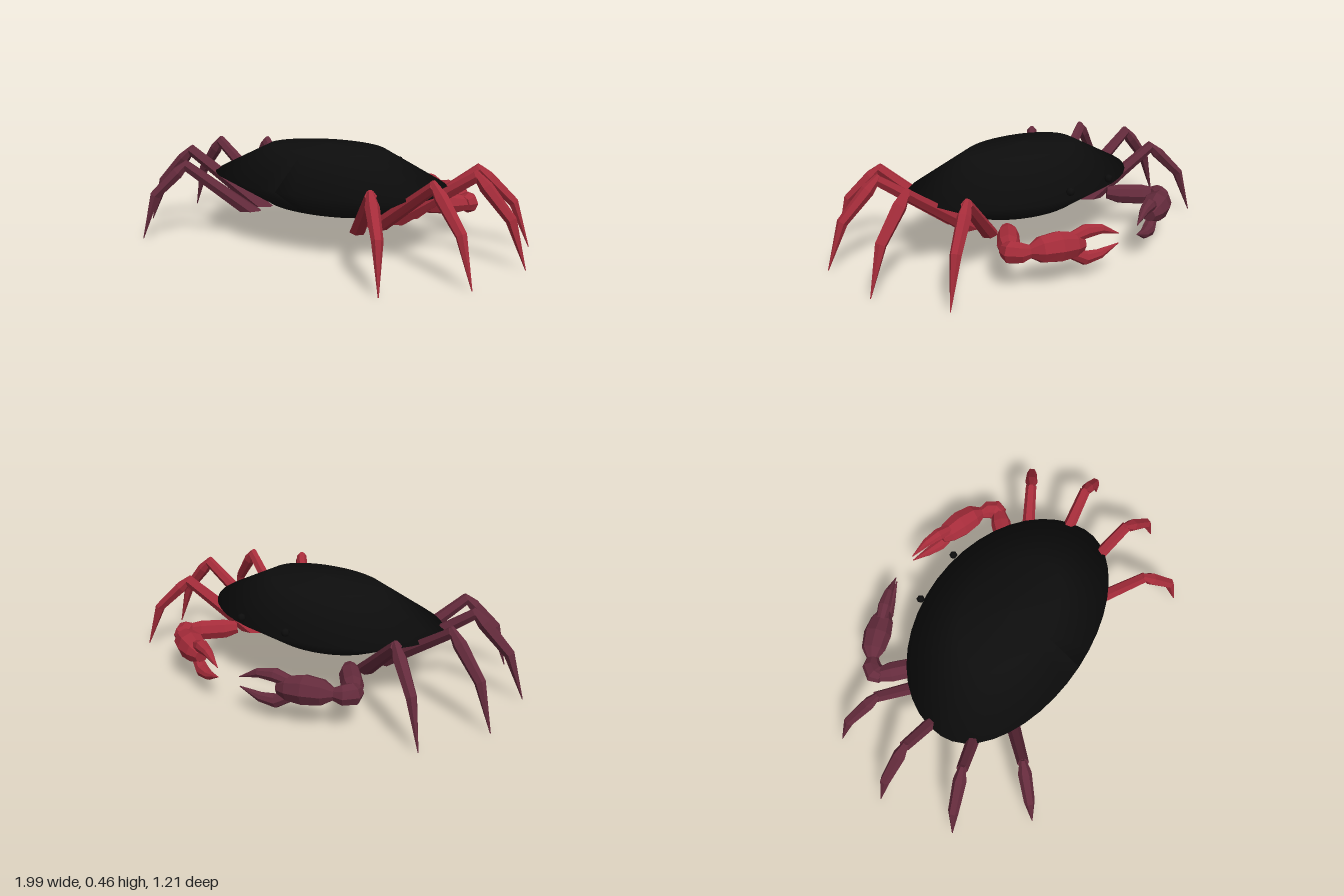
import * as THREE from 'three';

const V = (p) => new THREE.Vector3(...p);

// Tapered six-sided limb through [x, y, z, radius] stations; cutY slices the first end level
function limb(stations, cutY = null, sides = 6) {
  const pts = stations.map(V);
  const pos = [], idx = [];
  pts.forEach((p, i) => {
    const t = new THREE.Vector3();
    if (i > 0) t.add(p.clone().sub(pts[i - 1]).normalize());
    if (i < pts.length - 1) t.add(pts[i + 1].clone().sub(p).normalize());
    t.normalize();
    const u = new THREE.Vector3().crossVectors(t, new THREE.Vector3(0, 1, 0)).normalize();
    const v = new THREE.Vector3().crossVectors(t, u);
    for (let j = 0; j < sides; j++) {
      const a = (j / sides) * Math.PI * 2;
      const q = p.clone()
        .addScaledVector(u, Math.cos(a) * stations[i][3])
        .addScaledVector(v, Math.sin(a) * stations[i][3]);
      if (i === 0 && cutY !== null) q.addScaledVector(t, (cutY - q.y) / t.y);
      pos.push(q.x, q.y, q.z);
    }
  });
  const n = pts.length;
  for (let i = 0; i < n - 1; i++) {
    for (let j = 0; j < sides; j++) {
      const k = (j + 1) % sides;
      const a = i * sides + j, b = i * sides + k;
      idx.push(a, b, a + sides, b, b + sides, a + sides);
    }
  }
  // End caps
  const last = (n - 1) * sides;
  for (let j = 1; j < sides - 1; j++) {
    idx.push(0, j + 1, j, last, last + j, last + j + 1);
  }
  const g = new THREE.BufferGeometry();
  g.setAttribute('position', new THREE.Float32BufferAttribute(pos, 3));
  g.setIndex(idx);
  const flat = g.toNonIndexed();
  flat.computeVertexNormals();
  return flat;
}

// Shell: faceted profile swept round an outline of two half ellipses
function shellGeometry() {
  const profile = [[0, 0.125], [0.52, 0.157], [1, 0.29], [0.5, 0.44], [0, 0.46]];
  const g = new THREE.LatheGeometry(profile.map(([r, y]) => new THREE.Vector2(r, y)), 40);
  const p = g.attributes.position;
  for (let i = 0; i < p.count; i++) {
    const x = p.getX(i), z = p.getZ(i);
    const centre = 0.03 + 0.035 * Math.hypot(x, z);
    p.setX(i, x * 0.625);
    p.setZ(i, centre + z * (z > 0 ? 0.352 : 0.46));
  }
  g.computeVertexNormals();
  return g;
}

// Hip, knee, ankle and tip of each leg
const LEGS = [
  [[0.36, 0.12, -0.11], [0.65, 0.365, -0.27], [0.79, 0.21, -0.35], [0.858, 0, -0.385]],
  [[0.36, 0.12, 0.01], [0.765, 0.385, -0.027], [0.92, 0.21, -0.046], [0.992, 0, -0.055]],
  [[0.345, 0.12, 0.125], [0.71, 0.38, 0.243], [0.865, 0.21, 0.293], [0.935, 0, 0.32]],
  [[0.32, 0.12, 0.235], [0.535, 0.355, 0.45], [0.64, 0.21, 0.555], [0.68, 0, 0.603]],
];

// Claw pieces as limb stations
const CLAW = {
  upperArm: [[0.36, 0.17, -0.215, 0.03], [0.4, 0.165, -0.26, 0.048],
    [0.48, 0.16, -0.34, 0.05], [0.525, 0.16, -0.385, 0.035]],
  wrist: [[0.525, 0.16, -0.365, 0.035], [0.53, 0.16, -0.4, 0.05],
    [0.505, 0.16, -0.44, 0.045], [0.465, 0.162, -0.46, 0.025]],
  palm: [[0.48, 0.162, -0.455, 0.025], [0.435, 0.165, -0.48, 0.058],
    [0.36, 0.165, -0.51, 0.068], [0.29, 0.16, -0.535, 0.056], [0.245, 0.155, -0.55, 0.03]],
  upperFinger: [[0.3, 0.19, -0.53, 0.025], [0.23, 0.21, -0.555, 0.032],
    [0.16, 0.207, -0.58, 0.022], [0.07, 0.17, -0.608, 0.002]],
  lowerFinger: [[0.3, 0.125, -0.53, 0.025], [0.235, 0.09, -0.555, 0.032],
    [0.165, 0.095, -0.58, 0.022], [0.07, 0.125, -0.608, 0.002]],
};

export function createModel() {
  const model = new THREE.Group();
  model.name = 'crab';
  const material = (name, color) => {
    const m = new THREE.MeshStandardMaterial({ color });
    m.name = name;
    return m;
  };
  const black = material('black', 0x0d0d0d);
  const red = material('red', 0xa52c3a);
  const maroon = material('maroon', 0x642b3c);
  const add = (parent, name, geometry, mat) => {
    const mesh = new THREE.Mesh(geometry, mat);
    mesh.name = name;
    parent.add(mesh);
    return mesh;
  };

  add(model, 'shell', shellGeometry(), black);

  for (const s of [1, -1]) {
    const side = s > 0 ? 'left' : 'right';
    const mat = s > 0 ? red : maroon;
    const flip = (p, r) => [p[0] * s, p[1], p[2], r];

    // Walking legs
    LEGS.forEach(([hip, knee, ankle, tip], i) => {
      const leg = new THREE.Group();
      leg.name = `${side}Leg${i + 1}`;
      add(leg, 'thigh', limb([flip(hip, 0.036), flip(knee, 0.026)], 0.12), mat);
      const start = V(knee).lerp(V(ankle), -0.1).toArray();
      const upper = V(knee).lerp(V(ankle), 0.25).toArray();
      add(leg, 'shin', limb([flip(start, 0.014), flip(upper, 0.031),
        flip(ankle, 0.025), flip(tip, 0.002)]), mat);
      model.add(leg);
    });

    // Claw
    const claw = new THREE.Group();
    claw.name = `${side}Claw`;
    for (const [name, stations] of Object.entries(CLAW)) {
      add(claw, name, limb(stations.map((p) => flip(p, p[3])), null, 8), mat);
    }
    model.add(claw);

    // Eye
    const eye = add(model, `${side}Eye`, new THREE.SphereGeometry(0.02, 6, 4), black);
    eye.position.set(0.138 * s, 0.327, -0.39);
  }
  return model;
}
